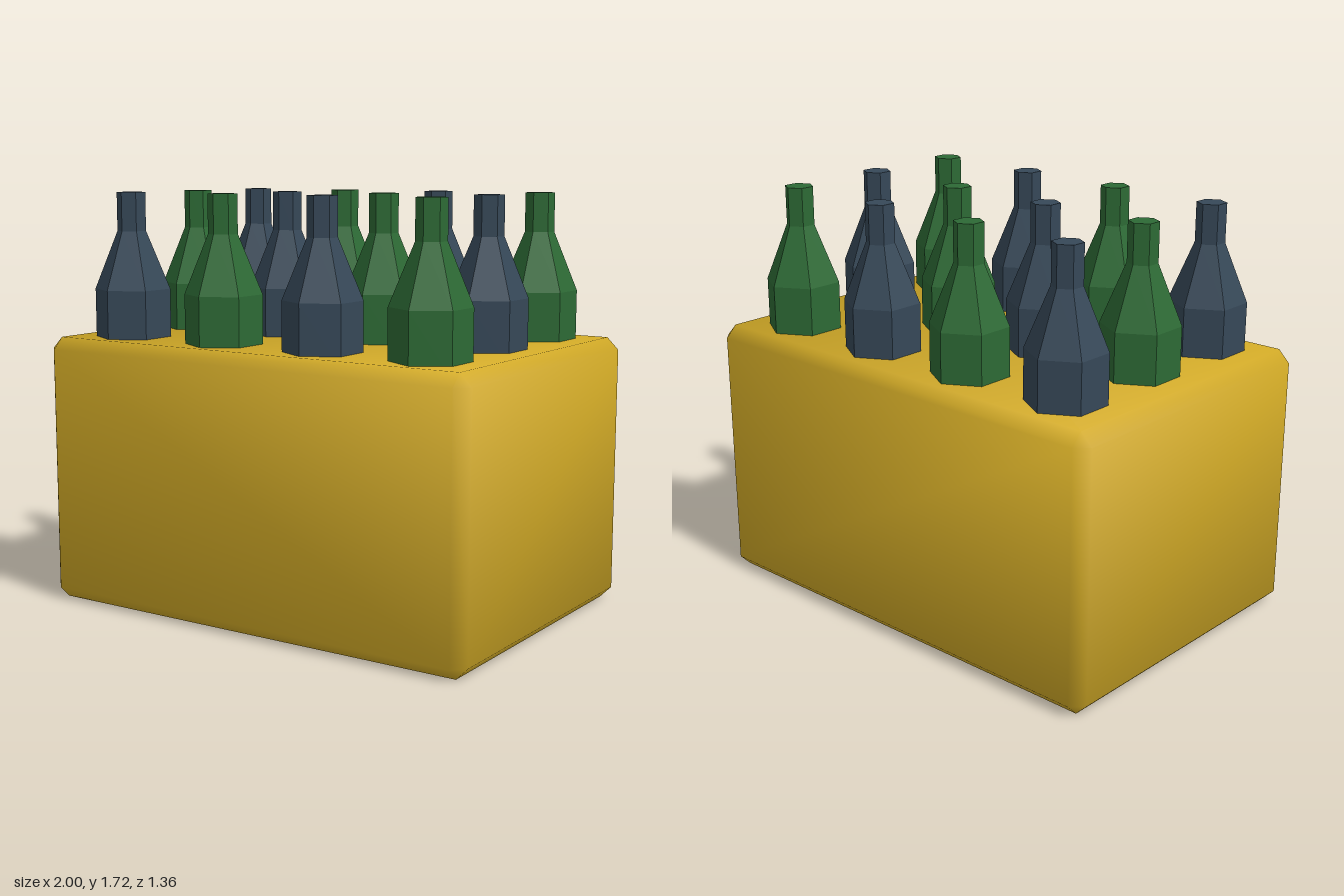
import * as THREE from 'three';
import { mergeVertices } from 'three/addons/utils/BufferGeometryUtils.js';
import { ConvexGeometry } from 'three/addons/geometries/ConvexGeometry.js';

const flat = (name, color, flatShading = false) => {
  const m = new THREE.MeshStandardMaterial({ color, flatShading });
  m.name = name;
  return m;
};

// Box with chamfered edges whose normals blend softly over every face
function chamferedBox(w, h, d, c) {
  const half = [w / 2, h / 2, d / 2];
  const points = [];
  for (let axis = 0; axis < 3; axis++) {
    for (const sx of [-1, 1]) for (const sy of [-1, 1]) for (const sz of [-1, 1]) {
      const p = [sx, sy, sz].map((s, i) => s * (half[i] - (i === axis ? 0 : c)));
      points.push(new THREE.Vector3(...p));
    }
  }
  let geo = new ConvexGeometry(points);
  geo.deleteAttribute('normal');
  geo = mergeVertices(geo);
  const pos = geo.attributes.position;
  const normals = [];
  for (let i = 0; i < pos.count; i++) {
    // Equal average of the main face, two chamfers and the corner
    const n = half.map((s, k) => {
      const v = pos.getComponent(i, k);
      return Math.sign(v) * (Math.abs(v) > s - c / 2 ? 2.98 : 1.28);
    });
    normals.push(...new THREE.Vector3(...n).normalize().toArray());
  }
  geo.setAttribute('normal', new THREE.Float32BufferAttribute(normals, 3));
  return geo;
}

export function createModel() {
  const group = new THREE.Group();
  group.name = 'bottleCrate';
  const yellow = flat('crateYellow', 0xd4ac27);
  const green = flat('bottleGreen', 0x2d6a35, true);
  const blue = flat('bottleBlueGrey', 0x364858, true);

  // Crate
  const crate = new THREE.Mesh(chamferedBox(2, 1.12, 1.36, 0.05), yellow);
  crate.name = 'crate';
  crate.position.y = 0.56;
  group.add(crate);

  // Six-sided bottles, colours alternating like a chequerboard
  const profile = [[0, 1.07], [0.158, 1.07], [0.158, 1.32], [0.06, 1.56], [0.06, 1.72], [0, 1.72]]
    .map(([r, y]) => new THREE.Vector2(r, y));
  const bottleGeo = new THREE.LatheGeometry(profile, 6);
  for (let row = 0; row < 3; row++) {
    for (let col = 0; col < 4; col++) {
      const bottle = new THREE.Mesh(bottleGeo, (row + col) % 2 ? green : blue);
      bottle.name = `bottle${row * 4 + col + 1}`;
      bottle.position.set(-0.72 + col * 0.48, 0, (row - 1) * 0.44);
      group.add(bottle);
    }
  }
  return group;
}
